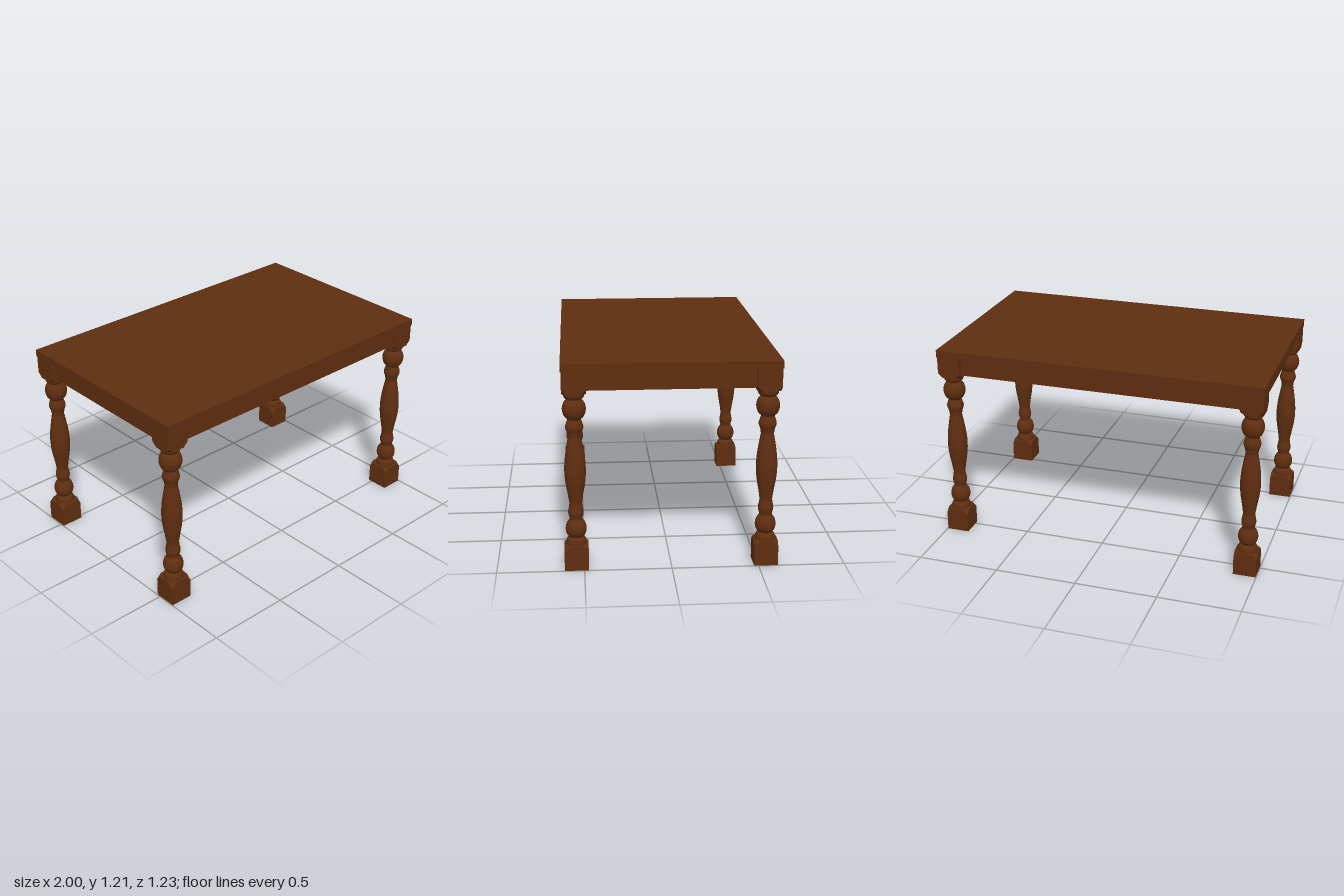
import * as THREE from 'three';
import { ConvexGeometry } from 'three/addons/geometries/ConvexGeometry.js';

const HALF = 0.069; // half width of the square leg blocks
const LEG_X = 0.928, LEG_Z = 0.544;

// Square block whose four corners are cut off towards one end
function blockGeometry(yFlat, yShoulder, yCut, cut) {
  const points = [];
  for (const sx of [-1, 1]) for (const sz of [-1, 1]) {
    points.push(
      new THREE.Vector3(sx * HALF, yFlat, sz * HALF),
      new THREE.Vector3(sx * HALF, yShoulder, sz * HALF),
      new THREE.Vector3(sx * (HALF - cut), yCut, sz * HALF),
      new THREE.Vector3(sx * HALF, yCut, sz * (HALF - cut))
    );
  }
  return new ConvexGeometry(points);
}

// Turned leg profile: each run is a smooth curve, runs meet at sharp creases
function turnedGeometry() {
  const runs = [
    [[0.058, 0.14], [0.058, 0.158], [0.052, 0.177], [0.04, 0.187]],
    [[0.04, 0.187], [0.054, 0.206], [0.06, 0.235], [0.053, 0.267], [0.037, 0.29]],
    [[0.037, 0.29], [0.037, 0.3], [0.043, 0.322], [0.044, 0.338], [0.039, 0.365], [0.036, 0.385]],
    [[0.036, 0.385], [0.044, 0.44], [0.056, 0.51], [0.061, 0.58], [0.057, 0.65], [0.047, 0.72], [0.037, 0.775]],
    [[0.037, 0.775], [0.042, 0.805], [0.051, 0.833], [0.046, 0.858], [0.037, 0.882]],
    [[0.037, 0.882], [0.056, 0.9], [0.067, 0.937], [0.06, 0.973], [0.042, 0.997]],
    [[0.042, 0.997], [0.054, 1.007], [0.06, 1.022], [0.06, 1.04]]
  ];
  const points = [];
  for (const run of runs) {
    const curve = new THREE.SplineCurve(run.map(([r, y]) => new THREE.Vector2(r, y)));
    points.push(...curve.getPoints(14).slice(points.length ? 1 : 0));
  }
  return new THREE.LatheGeometry(points, 40);
}

export function createModel() {
  const table = new THREE.Group();
  table.name = 'table';
  const wood = new THREE.MeshStandardMaterial({ color: 0x5f2e10 });
  wood.name = 'dark brown wood';

  const add = (parent, name, geometry, x = 0, y = 0, z = 0) => {
    const mesh = new THREE.Mesh(geometry, wood);
    mesh.name = name;
    mesh.position.set(x, y, z);
    parent.add(mesh);
  };

  // Table top
  add(table, 'tableTop', new THREE.BoxGeometry(2, 0.045, 1.234), 0, 1.1875, 0);

  // Legs: square foot, turned shaft, square head
  const foot = blockGeometry(0, 0.115, 0.144, 0.03);
  const head = blockGeometry(1.166, 1.063, 1.034, 0.03);
  const shaft = turnedGeometry();
  for (const sx of [-1, 1]) for (const sz of [-1, 1]) {
    const leg = new THREE.Group();
    leg.name = (sz > 0 ? 'front' : 'back') + (sx > 0 ? 'Left' : 'Right') + 'Leg';
    leg.position.set(sx * LEG_X, 0, sz * LEG_Z);
    add(leg, 'foot', foot);
    add(leg, 'turnedShaft', shaft);
    add(leg, 'head', head);
    table.add(leg);
  }

  // Aprons set back from the outer faces of the legs
  const thick = 0.05, inset = 0.035, height = 0.116;
  const offset = HALF - inset - thick / 2;
  const longApron = new THREE.BoxGeometry(2 * (LEG_X - HALF), height, thick);
  const shortApron = new THREE.BoxGeometry(thick, height, 2 * (LEG_Z - HALF));
  for (const s of [-1, 1]) {
    add(table, s > 0 ? 'frontApron' : 'backApron', longApron, 0, 1.108, s * (LEG_Z + offset));
    add(table, s > 0 ? 'leftApron' : 'rightApron', shortApron, s * (LEG_X + offset), 1.108, 0);
  }
  return table;
}
